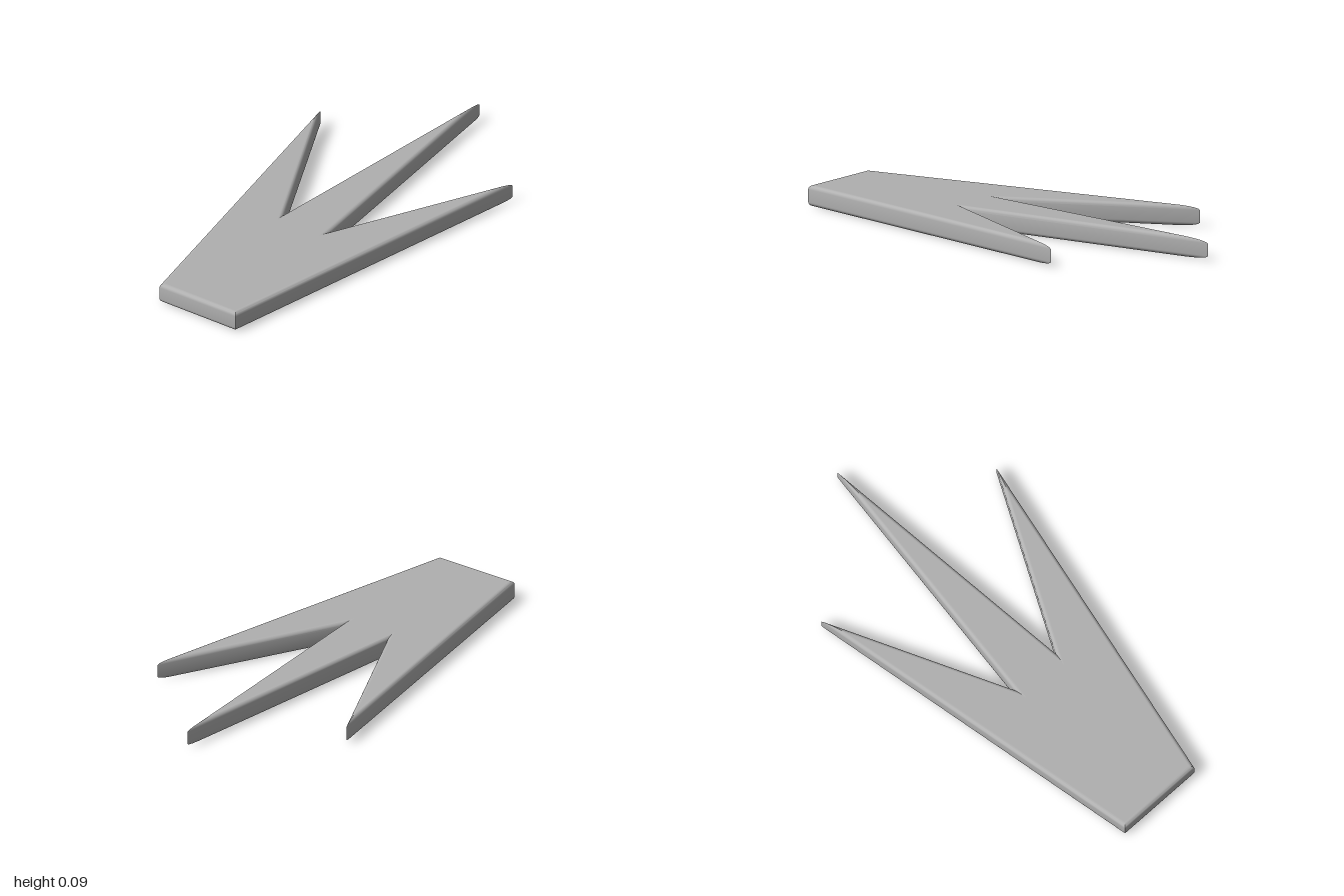
import * as THREE from 'three';
import { toCreasedNormals } from 'three/addons/utils/BufferGeometryUtils.js';

const HEIGHT = 0.09;
const BEVEL = 0.018;
const STEPS = 5;

// Outline drawn flat, counter-clockwise: heel, side toe, notch, middle toe, mirrored back
const OUTLINE = [
  [-0.2, -1], [0.2, -1], [0.505, 0.555], [0.12, -0.225],
  [0, 1], [-0.12, -0.225], [-0.505, 0.555],
].map(([x, y]) => new THREE.Vector2(x, y));

// Moves every edge inward by d, with full mitres at the corners
function inset(points, d) {
  const n = points.length;
  const inward = points.map((p, i) => {
    const e = points[(i + 1) % n].clone().sub(p).normalize();
    return new THREE.Vector2(-e.y, e.x);
  });
  return points.map((p, i) => {
    const a = inward[(i + n - 1) % n], b = inward[i];
    return p.clone().addScaledVector(a.clone().add(b), d / (1 + a.dot(b)));
  });
}

// Wall with rounded upper and lower edges, skinned from inset rings
function rimGeometry() {
  const profile = [];
  for (let i = 0; i <= STEPS; i++) {
    const t = (i / STEPS) * Math.PI / 2;
    profile.push([BEVEL * (1 - Math.sin(t)), BEVEL * (1 - Math.cos(t))]);
  }
  const upper = profile.map(([d, z]) => [d, HEIGHT - z]).reverse();
  const rings = [...profile, ...upper];
  const n = OUTLINE.length, pos = [], index = [];
  rings.forEach(([d, z], r) => {
    inset(OUTLINE, d).forEach((p, i) => {
      pos.push(p.x, p.y, z);
      if (r === rings.length - 1) return;
      const a = r * n + i, b = r * n + (i + 1) % n;
      index.push(a, b, b + n, a, b + n, a + n);
    });
  });
  const geo = new THREE.BufferGeometry();
  geo.setAttribute('position', new THREE.Float32BufferAttribute(pos, 3));
  geo.setIndex(index);
  return toCreasedNormals(geo, 0.45);
}

export function createModel() {
  const group = new THREE.Group();
  group.name = 'threeToedFootprint';
  const grey = new THREE.MeshStandardMaterial({ color: 0xb0b0b0 });
  grey.name = 'grey';

  const add = (name, geo) => {
    const mesh = new THREE.Mesh(geo.rotateX(-Math.PI / 2), grey);
    mesh.name = name;
    group.add(mesh);
  };

  // Flat faces; the outline is symmetric, so the sole is the top turned over
  const face = () => new THREE.ShapeGeometry(new THREE.Shape(inset(OUTLINE, BEVEL)));
  add('roundedRim', rimGeometry());
  add('topFace', face().translate(0, 0, HEIGHT));
  add('soleFace', face().rotateY(Math.PI));
  return group;
}
